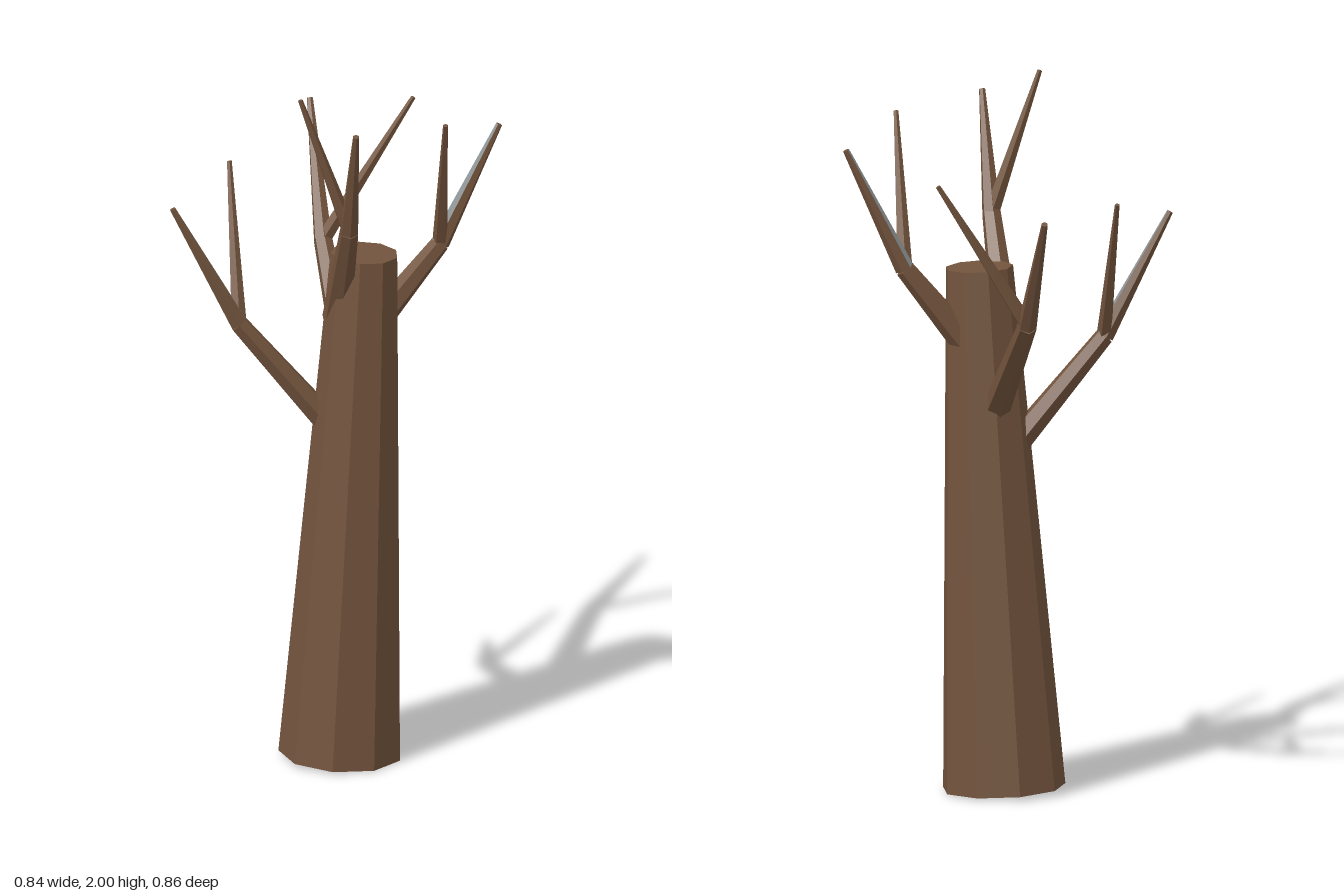
import * as THREE from 'three';

const bark = new THREE.MeshStandardMaterial({ color: 0x73543d, flatShading: true });
bark.name = 'brown bark';
const pale = new THREE.MeshStandardMaterial({ color: 0x8f9698, flatShading: true });
pale.name = 'pale grey bark';

// Tapered straight limb from a to b; theta 0 of the cylinder is its upper side.
// paleFaces lists the side faces that carry the grey bark.
function limb(name, a, b, r0, r1, sides, thetaStart = 0, paleFaces = []) {
  const p = new THREE.Vector3(...a), q = new THREE.Vector3(...b);
  const dir = q.clone().sub(p), len = dir.length();
  dir.normalize();
  const across = new THREE.Vector3(0, 1, 0).cross(dir).normalize().negate();
  const up = across.clone().cross(dir);
  if (up.y < 0) { up.negate(); across.negate(); }
  const geo = new THREE.CylinderGeometry(r1, r0, len, sides, 1, false, thetaStart);
  if (paleFaces.length) {
    const total = geo.index.count;
    geo.clearGroups();
    for (let i = 0; i < sides; i++) geo.addGroup(i * 6, 6, paleFaces.includes(i) ? 1 : 0);
    geo.addGroup(sides * 6, total - sides * 6, 0);
  }
  geo.applyMatrix4(new THREE.Matrix4().makeBasis(dir.clone().cross(up), dir, up));
  const mesh = new THREE.Mesh(geo, paleFaces.length ? [bark, pale] : bark);
  mesh.name = name;
  mesh.position.copy(p.add(q).multiplyScalar(0.5));
  return mesh;
}

// Nine-sided trunk, leaning slightly to +x
function makeTrunk() {
  const base = new THREE.Vector3(0.01, 0.012, 0.125), top = new THREE.Vector3(0.08, 1.482, 0.125);
  const dir = top.clone().sub(base);
  const geo = new THREE.CylinderGeometry(0.095, 0.173, dir.length(), 9, 1, false, Math.PI / 2);
  const mesh = new THREE.Mesh(geo, bark);
  mesh.name = 'trunk';
  mesh.quaternion.setFromUnitVectors(new THREE.Vector3(0, 1, 0), dir.normalize());
  mesh.position.copy(base.add(top).multiplyScalar(0.5));
  return mesh;
}

// Each branch: root in the trunk, elbow, end of the main shoot, end of the side twig
const branches = [
  { name: 'backBranch', root: [0.05, 1.03, 0.125], elbow: [-0.145, 1.39, -0.21], tip: [-0.25, 1.725, -0.425], twig: [0.083, 1.795, -0.322] },
  { name: 'rightBranch', root: [0.05, 0.89, 0.115], elbow: [-0.25, 1.28, 0.24], tip: [-0.417, 1.625, 0.322], twig: [-0.333, 1.69, 0.062], roll: -Math.PI / 6, pale: [0] },
  { name: 'frontBranch', root: [0.0, 1.28, 0.13], elbow: [0.088, 1.6, 0.295], tip: [0.147, 1.925, 0.42], twig: [-0.032, 1.997, 0.367] },
  { name: 'leftBranch', root: [0.08, 1.24, 0.085], elbow: [0.262, 1.49, 0.005], tip: [0.412, 1.832, -0.066], twig: [0.333, 1.9, 0.182], pale: [0, 5] },
];

export function createModel() {
  const tree = new THREE.Group();
  tree.name = 'bareTree';
  tree.add(makeTrunk());
  for (const b of branches) {
    const g = new THREE.Group();
    g.name = b.name;
    g.add(limb('lowerBranch', b.root, b.elbow, 0.042, 0.027, 6, b.roll));
    g.add(limb('mainShoot', b.elbow, b.tip, 0.027, 0.009, 6, b.roll, b.pale));
    g.add(limb('sideTwig', b.elbow, b.twig, 0.022, 0.007, 5));
    tree.add(g);
  }
  return tree;
}
